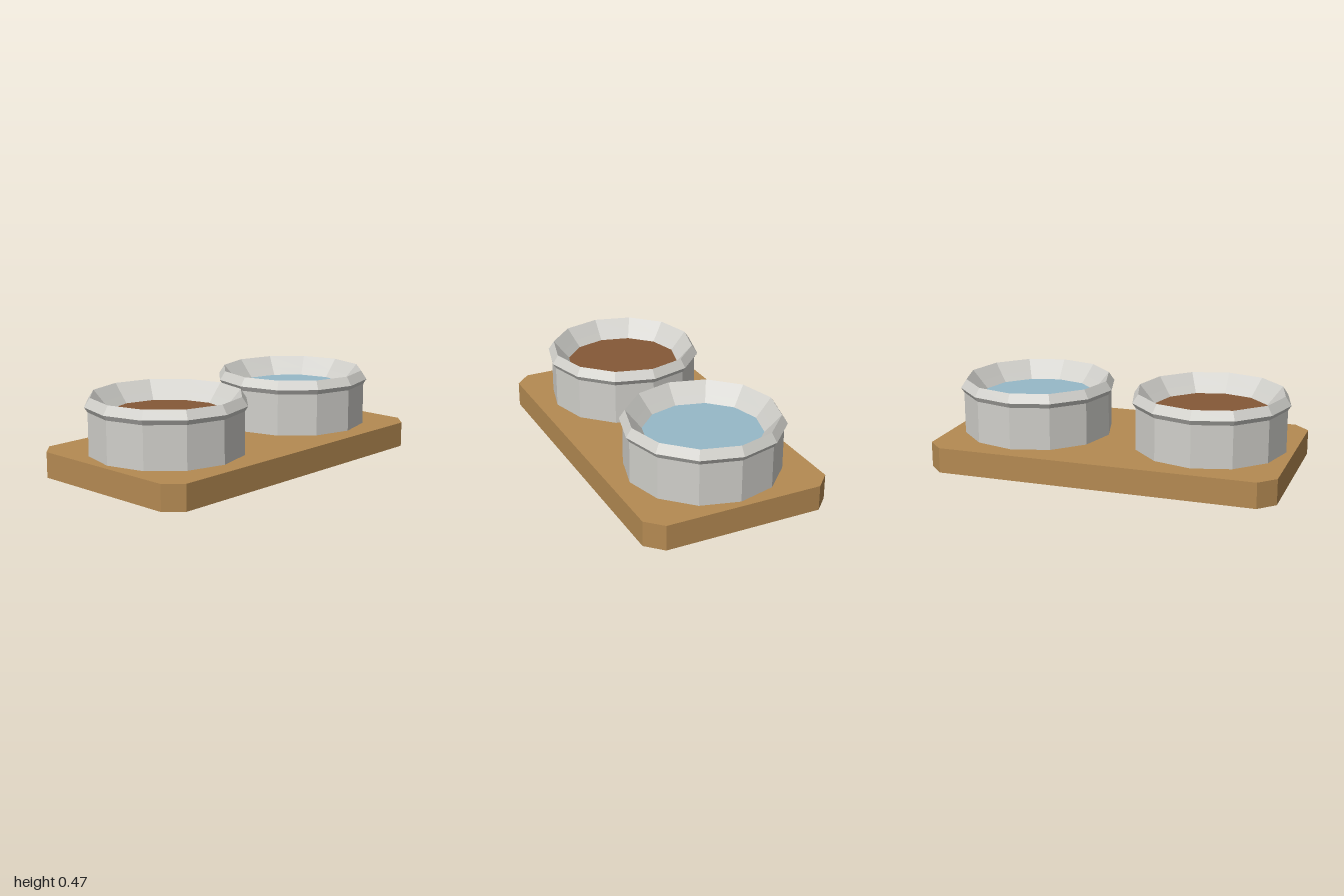
import * as THREE from 'three';

const flat = (name, color) => {
  const m = new THREE.MeshStandardMaterial({ color, flatShading: true });
  m.name = name;
  return m;
};

export function createModel() {
  const wood = flat('wood', 0xb48a52);
  const metal = flat('metal', 0xd0cfca);
  const food = flat('food', 0x855937);
  const water = flat('water', 0x96b9c8);

  const model = new THREE.Group();
  model.name = 'twinBowlStand';
  const add = (parent, name, geometry, material) => {
    const mesh = new THREE.Mesh(geometry, material);
    mesh.name = name;
    parent.add(mesh);
    return mesh;
  };

  // wooden board with clipped corners
  const X = 1, Z = 0.543, C = 0.09;
  const outline = new THREE.Shape([
    [X, -Z + C], [X, Z - C], [X - C, Z], [-X + C, Z],
    [-X, Z - C], [-X, -Z + C], [-X + C, -Z], [X - C, -Z],
  ].map(([x, y]) => new THREE.Vector2(x, y)));
  const board = new THREE.ExtrudeGeometry(outline, { depth: 0.145, bevelEnabled: false });
  board.rotateX(-Math.PI / 2);
  add(model, 'board', board, wood);

  // bowl profile: outer wall, flared lip, then the sloping inside
  const profile = [
    [0.435, 0.14], [0.435, 0.387], [0.453, 0.415], [0.42, 0.465],
    [0.365, 0.4], [0.33, 0.36],
  ].map(([r, y]) => new THREE.Vector2(r, y));

  const addBowl = (name, x, fillName, fillMaterial) => {
    const bowl = new THREE.Group();
    bowl.name = name;
    bowl.position.x = x;
    add(bowl, 'bowlShell', new THREE.LatheGeometry(profile, 12), metal);
    // contents fill the bowl up to the inner ledge
    const fill = new THREE.CircleGeometry(0.33, 12);
    fill.rotateX(-Math.PI / 2);
    add(bowl, fillName, fill, fillMaterial).position.y = 0.36;
    model.add(bowl);
  };
  addBowl('foodBowl', -0.522, 'foodFill', food);
  addBowl('waterBowl', 0.522, 'waterFill', water);

  return model;
}
